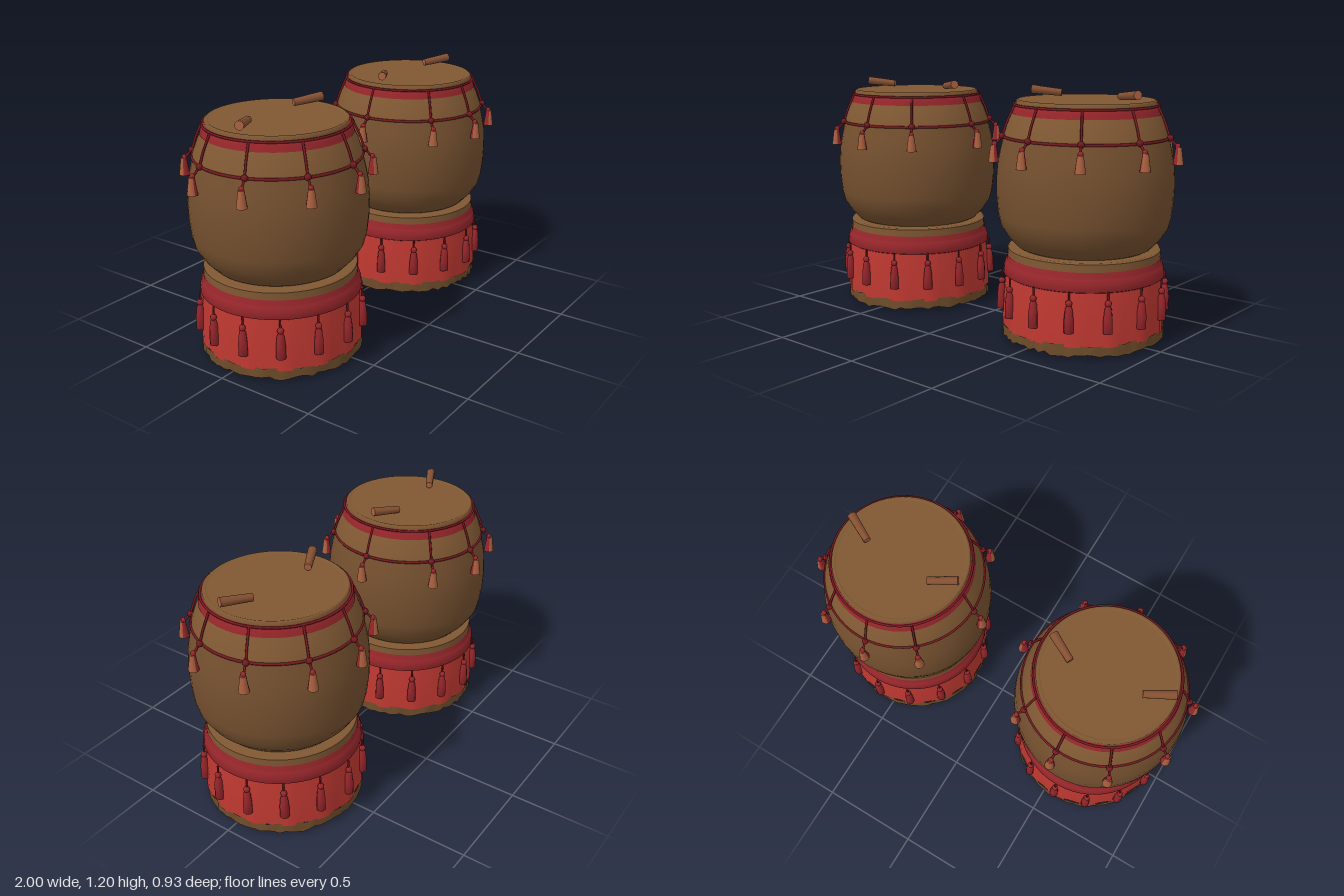
import * as THREE from 'three';

const mat = (name, color, side = THREE.FrontSide) => {
  const m = new THREE.MeshStandardMaterial({ color, side });
  m.name = name;
  return m;
};

export function createModel() {
  const wood = mat('drum brown', 0x75502f);
  const skin = mat('skin brown', 0x805833);
  const fringeMat = mat('fringe brown', 0x6e4c2a, THREE.DoubleSide);
  const red = mat('cloth red', 0xbf3831, THREE.DoubleSide);
  const darkRed = mat('band red', 0x96262b);
  const cord = mat('cord red', 0x74191f);
  const terracotta = mat('terracotta', 0xa9603f);
  const stickWood = mat('stick brown', 0x855032);

  const add = (parent, name, geo, material) => {
    const m = new THREE.Mesh(geo, material);
    m.name = name;
    parent.add(m);
    return m;
  };
  const lathe = (pts) => new THREE.LatheGeometry(pts.map(([r, y]) => new THREE.Vector2(r, y)), 56);
  const ring = (parent, name, r, y, t, material) => {
    const m = add(parent, name, new THREE.TorusGeometry(r, t, 6, 56), material);
    m.rotation.x = Math.PI / 2;
    m.position.y = y;
  };
  const deg = Math.PI / 180;

  // small seeded noise for the ragged cloth edge
  let seed = 7;
  const rnd = () => (seed = (seed * 16807) % 2147483647) / 2147483647;

  // pushes a round cloth in and out in soft folds, stronger toward the hem
  const fold = (geo, yTop, amount) => {
    const p = geo.attributes.position;
    for (let i = 0; i < p.count; i++) {
      const a = Math.atan2(p.getX(i), p.getZ(i));
      const k = 1 + amount * Math.sin(a * 14 + 1) * Math.max(0, yTop - p.getY(i));
      p.setX(i, p.getX(i) * k);
      p.setZ(i, p.getZ(i) * k);
    }
    geo.computeVertexNormals();
    return geo;
  };

  // ragged fringe at the hem
  const makeFringe = () => {
    const n = 84;
    const geo = new THREE.CylinderGeometry(0.388, 0.388, 0.055, n, 1, true);
    geo.translate(0, 0.0425, 0);
    const p = geo.attributes.position;
    for (let i = 0; i < n; i++) {
      const drop = i === 0 ? 0 : 0.006 + 0.016 * rnd();
      const k = 0.99 + 0.025 * rnd();
      const lift = 0.012 * rnd();
      const ends = i === 0 ? [0, n] : [i];
      for (const j of ends) {
        p.setY(j, p.getY(j) - lift);
        const b = j + n + 1;
        p.setXYZ(b, p.getX(b) * k, drop, p.getZ(b) * k);
      }
    }
    geo.computeVertexNormals();
    return geo;
  };

  // cord and two-tone tassel hanging from the drum's shoulder
  const shoulderTassel = (parent, angle) => {
    const g = new THREE.Group();
    g.name = 'shoulderTassel';
    g.rotation.y = angle;
    const path = new THREE.CatmullRomCurve3([
      [0.343, 1.118], [0.378, 1.04], [0.402, 0.975], [0.432, 0.94],
    ].map(([x, y]) => new THREE.Vector3(x, y, 0)));
    add(g, 'tasselCord', new THREE.TubeGeometry(path, 10, 0.006, 6), cord);
    add(g, 'cordKnot', new THREE.IcosahedronGeometry(0.016, 1), cord).position.set(0.4, 0.976, 0);
    add(g, 'tasselKnob', new THREE.SphereGeometry(0.013, 8, 6), darkRed).position.set(0.436, 0.94, 0);
    const half = (name, start, material) => {
      const m = add(g, name, new THREE.CylinderGeometry(0.014, 0.025, 0.08, 6, 1, false, start, Math.PI), material);
      m.position.set(0.44, 0.895, 0);
    };
    half('tasselFront', 0, terracotta);
    half('tasselBack', Math.PI, darkRed);
    parent.add(g);
  };

  // long tassel lying against the skirt
  const skirtTassel = (parent, angle) => {
    const g = new THREE.Group();
    g.name = 'skirtTassel';
    g.rotation.y = angle;
    add(g, 'tasselLoop', new THREE.CylinderGeometry(0.005, 0.005, 0.05, 5), cord).position.set(0.392, 0.29, 0);
    add(g, 'tasselKnob', new THREE.SphereGeometry(0.016, 8, 6), darkRed).position.set(0.395, 0.262, 0);
    add(g, 'tasselBody', new THREE.LatheGeometry([
      [0, 0.12], [0.023, 0.125], [0.022, 0.19], [0.017, 0.235], [0.008, 0.26],
    ].map(([r, y]) => new THREE.Vector2(r, y)), 8), darkRed).position.x = 0.395;
    parent.add(g);
  };

  // drumstick between two points
  const stick = (parent, from, to) => {
    const a = new THREE.Vector3(...from), b = new THREE.Vector3(...to);
    const dir = b.clone().sub(a);
    const m = add(parent, 'drumstick', new THREE.CylinderGeometry(0.022, 0.018, dir.length(), 8),
      [stickWood, terracotta, terracotta]);
    m.position.copy(a).add(b).multiplyScalar(0.5);
    m.quaternion.setFromUnitVectors(new THREE.Vector3(0, 1, 0), dir.normalize());
  };

  // one drum on its draped stand; +x is the side facing the other drum
  const makeDrum = (name, zSign) => {
    const g = new THREE.Group();
    g.name = name;

    // draped stand
    const base = add(g, 'standBottom', new THREE.CircleGeometry(0.385, 56), wood);
    base.rotation.x = Math.PI / 2;
    base.position.y = 0.035;
    add(g, 'fringe', makeFringe(), fringeMat);
    add(g, 'skirt', fold(lathe([[0.387, 0.055], [0.386, 0.12], [0.383, 0.2], [0.378, 0.27], [0.374, 0.32]]), 0.32, 0.06), red);
    add(g, 'skirtBelt', lathe([[0.374, 0.305], [0.387, 0.312], [0.384, 0.345], [0.377, 0.368], [0.37, 0.372], [0.369, 0.398], [0.363, 0.398]]), darkRed);
    add(g, 'standCollar', lathe([[0.366, 0.395], [0.366, 0.434]]), skin);
    add(g, 'standCollarTop', lathe([[0.366, 0.434], [0.36, 0.441], [0.28, 0.441]]), skin);
    for (let i = 0; i < 14; i++) skirtTassel(g, (i + 0.5) * Math.PI / 7);

    // barrel
    add(g, 'barrel', lathe([
      [0.3, 0.435], [0.325, 0.448], [0.365, 0.49], [0.4, 0.545], [0.413, 0.6], [0.421, 0.68],
      [0.423, 0.76], [0.417, 0.84], [0.403, 0.91], [0.388, 0.975],
    ]), wood);

    // skin, shoulder band and head
    add(g, 'skinShoulder', lathe([[0.386, 0.96], [0.391, 0.968], [0.388, 0.985], [0.368, 1.04], [0.346, 1.085]]), skin);
    add(g, 'shoulderBand', lathe([[0.352, 1.078], [0.346, 1.098], [0.338, 1.122], [0.328, 1.124]]), darkRed);
    add(g, 'headRim', lathe([[0.331, 1.118], [0.331, 1.137], [0.322, 1.143], [0.31, 1.138]]), skin);
    const head = add(g, 'drumHead', new THREE.CircleGeometry(0.313, 56), skin);
    head.rotation.x = -Math.PI / 2;
    head.position.y = 1.138;
    ring(g, 'upperCord', 0.341, 1.12, 0.006, cord);
    ring(g, 'lowerCord', 0.391, 0.972, 0.007, cord);
    for (const a of [0, 49, 85, 122, 161]) {
      shoulderTassel(g, a * deg);
      if (a) shoulderTassel(g, -a * deg);
    }

    // drumsticks
    stick(g, [-0.18, 1.163, -0.015 * zSign], [-0.315, 1.178, 0.055 * zSign]);
    stick(g, [0.175, 1.163, -0.045 * zSign], [0.305, 1.178, 0.025 * zSign]);
    return g;
  };

  const model = new THREE.Group();
  model.name = 'drumPair';
  const rightDrum = makeDrum('rightDrum', 1);
  rightDrum.position.x = -0.56;
  const leftDrum = makeDrum('leftDrum', -1);
  leftDrum.position.x = 0.56;
  leftDrum.rotation.y = Math.PI;
  model.add(rightDrum, leftDrum);
  return model;
}
